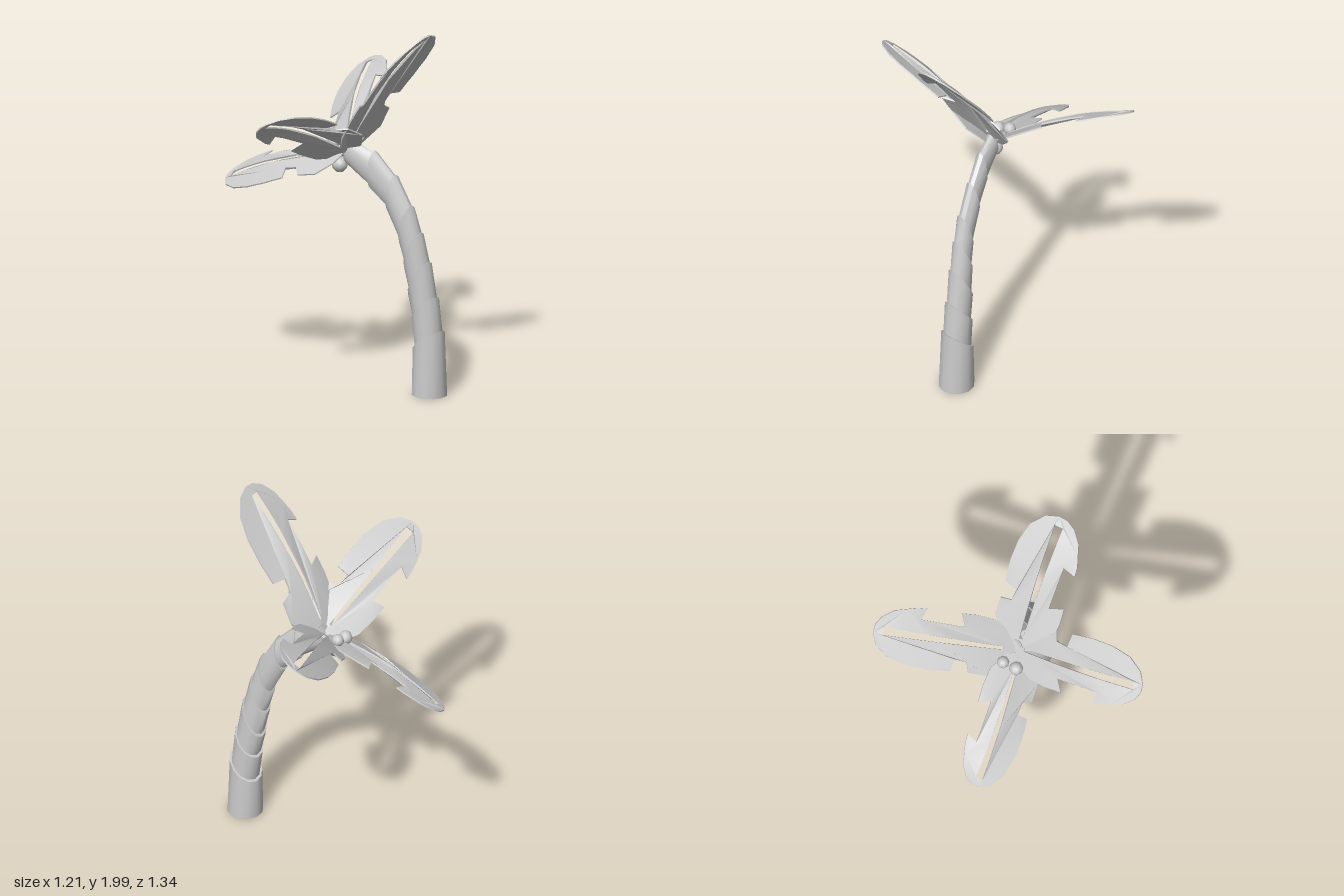
import * as THREE from 'three';
import { toCreasedNormals } from 'three/addons/utils/BufferGeometryUtils.js';

const V = (x, y, z) => new THREE.Vector3(x, y, z);
const material = new THREE.MeshStandardMaterial({ color: 0xcccccc, side: THREE.DoubleSide });

// Trunk rings: lower-side x, y; upper-side x, y; centre z; half width in z
const RINGS = [
  [0.405, 0.005, 0.595, 0, -0.25, 0.095],
  [0.41, 0.23, 0.58, 0.36, -0.25, 0.087],
  [0.405, 0.385, 0.55, 0.54, -0.242, 0.077],
  [0.39, 0.52, 0.513, 0.73, -0.228, 0.069],
  [0.375, 0.67, 0.473, 0.885, -0.21, 0.061],
  [0.355, 0.8, 0.424, 1.025, -0.192, 0.054],
  [0.285, 0.98, 0.334, 1.178, -0.163, 0.048],
  [0.2, 1.085, 0.222, 1.297, -0.118, 0.045],
  [0.07, 1.21, 0.1, 1.34, -0.065, 0.04],
];
const SIDES = 12;

// One continuous skin: each slanted ring steps inward to start the next segment
function trunkGeometry() {
  const pos = [], index = [];
  let rows = 0;
  const addRing = ([lx, ly, rx, ry, z, b], s) => {
    for (let i = 0; i < SIDES; i++) {
      const t = (i / SIDES) * Math.PI * 2, c = Math.cos(t) * s;
      pos.push((lx + rx) / 2 + ((rx - lx) / 2) * c, (ly + ry) / 2 + ((ry - ly) / 2) * c, z + b * s * Math.sin(t));
    }
    rows++;
  };
  addRing(RINGS[0], 0);
  RINGS.forEach((ring, i) => {
    addRing(ring, 1);
    if (i > 0) addRing(ring, i === RINGS.length - 1 ? 0 : 0.87);
  });
  for (let r = 0; r < rows - 1; r++) {
    for (let i = 0; i < SIDES; i++) {
      const a = r * SIDES + i, b = r * SIDES + ((i + 1) % SIDES);
      index.push(a, a + SIDES, b, b, a + SIDES, b + SIDES);
    }
  }
  const g = new THREE.BufferGeometry();
  g.setAttribute('position', new THREE.Float32BufferAttribute(pos, 3));
  g.setIndex(index);
  return toCreasedNormals(g, 0.65);
}

// Frond outline: distance along the spine, distance to the right of it (length 1)
const OUTLINE = [
  [0, 0.03], [0.04, 0.1], [0.16, 0.175], [0.3, 0.192], [0.42, 0.19], [0.39, 0.105], [0.7, 0.112],
  [0.665, 0.187], [0.73, 0.183], [0.88, 0.144], [0.96, 0.09], [0.995, 0.035], [1, -0.02], [0.965, -0.1],
  [0.87, -0.17], [0.73, -0.205], [0.58, -0.212], [0.43, -0.2], [0.42, -0.115], [0.33, -0.125],
  [0.3, -0.195], [0.16, -0.2], [0.04, -0.11], [0, -0.03],
];
const SLOT = [[0.09, 0.01], [0.94, 0.027], [0.94, -0.027], [0.09, -0.01]];

// Split long edges so the flat outline can bend
function subdivide(points, step) {
  const out = [];
  points.forEach(([x, y], i) => {
    const [nx, ny] = points[(i + 1) % points.length];
    const n = Math.max(1, Math.round(Math.hypot(nx - x, ny - y) / step));
    for (let k = 0; k < n; k++) out.push(new THREE.Vector2(x + ((nx - x) * k) / n, y + ((ny - y) * k) / n));
  });
  return out;
}

// Lay the frond between base and tip, rolled about its spine, arched and curled down at the edges
function frondGeometry(base, tip, roll) {
  const shape = new THREE.Shape(subdivide(OUTLINE, 0.1));
  shape.holes.push(new THREE.Path(subdivide(SLOT, 0.1)));
  const g = new THREE.ExtrudeGeometry(shape, { depth: 0.01, bevelEnabled: false });
  const dir = tip.clone().sub(base), length = dir.length();
  dir.normalize();
  const right = dir.clone().cross(V(0, 1, 0)).normalize().applyAxisAngle(dir, -roll);
  const normal = right.clone().cross(dir);
  const p = g.attributes.position;
  for (let i = 0; i < p.count; i++) {
    const u = p.getX(i), v = p.getY(i);
    const lift = 0.22 * u * (1 - u) - 0.8 * v * v - p.getZ(i);
    const q = base.clone().addScaledVector(dir, u * length)
      .addScaledVector(right, v * length).addScaledVector(normal, lift * length);
    p.setXYZ(i, q.x, q.y, q.z);
  }
  g.deleteAttribute('uv');
  g.deleteAttribute('normal');
  return toCreasedNormals(g, 0.6);
}

// Base, tip, roll (positive lifts the right edge)
const FRONDS = [
  ['backFrond', V(0.07, 1.28, -0.06), V(-0.37, 1.58, -0.655), 0.5],
  ['rightFrond', V(0.07, 1.27, -0.03), V(-0.595, 1.045, 0.18), 0.42],
  ['frontFrond', V(0.085, 1.27, -0.08), V(0.205, 1.585, 0.665), -0.62],
  ['leftFrond', V(0.08, 1.28, -0.05), V(0.595, 1.995, -0.145), 0],
];

const NUTS = [
  [V(0.045, 1.2, -0.035), 0.042],
  [V(-0.01, 1.275, 0.005), 0.038],
  [V(-0.03, 1.3, -0.065), 0.034],
];

export function createModel() {
  const model = new THREE.Group();
  model.name = 'palmTree';
  const add = (name, geometry) => {
    const mesh = new THREE.Mesh(geometry, material);
    mesh.name = name;
    model.add(mesh);
    return mesh;
  };

  add('trunk', trunkGeometry());
  for (const [name, base, tip, roll] of FRONDS) add(name, frondGeometry(base, tip, roll));

  // Coconuts clustered under the crown
  NUTS.forEach(([centre, r], i) => {
    add('coconut' + (i + 1), new THREE.SphereGeometry(r, 8, 6)).position.copy(centre);
  });
  return model;
}
